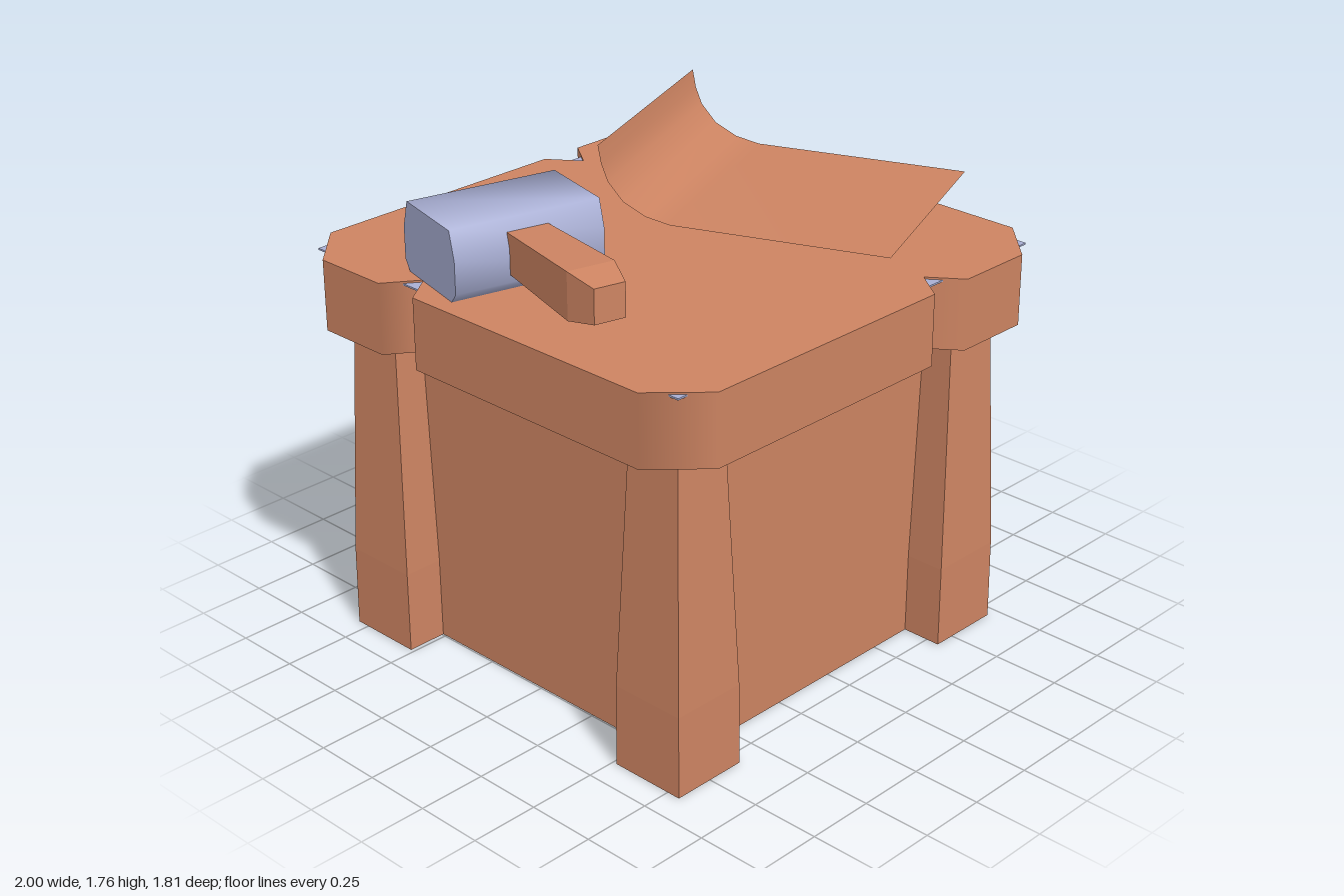
import * as THREE from 'three';
import { toCreasedNormals } from 'three/addons/utils/BufferGeometryUtils.js';

const CX = -0.095; // table centre in x
const HALF = 0.905; // half width of the table top

// Solid from a stack of equal-length rings, capped at both ends
function loft(rings) {
  const pos = [], idx = [], n = rings[0].length;
  rings.forEach(r => r.forEach(p => pos.push(...p)));
  for (let k = 0; k < rings.length - 1; k++)
    for (let i = 0; i < n; i++) {
      const a = k * n + i, b = k * n + (i + 1) % n;
      idx.push(a, b, b + n, a, b + n, a + n);
    }
  const last = (rings.length - 1) * n;
  for (let i = 1; i < n - 1; i++) {
    idx.push(0, i + 1, i);
    idx.push(last, last + i, last + i + 1);
  }
  const g = new THREE.BufferGeometry();
  g.setAttribute('position', new THREE.Float32BufferAttribute(pos, 3));
  g.setIndex(idx);
  return g;
}

function flat(g) {
  const f = g.toNonIndexed();
  f.computeVertexNormals();
  return f;
}

// Chamfered square slab with three notches; corners shade round
function tableTopGeometry() {
  const h = HALF, c = 0.735;
  const outline = [
    [-c, h], [0.275, h], [0.36, 0.79], [0.445, h], [c, h],
    [h, c], [h, -c],
    [c, -h], [0.425, -h], [0.345, -0.79], [0.26, -h], [-c, -h],
    [-h, -c], [-h, -0.45], [-0.785, -0.365], [-h, -0.28], [-h, c],
  ];
  const shape = new THREE.Shape(outline.map(([x, z]) => new THREE.Vector2(x, -z)));
  let g = new THREE.ExtrudeGeometry(shape, { depth: 0.255, bevelEnabled: false });
  g.rotateX(-Math.PI / 2);
  const p = g.attributes.position, nr = g.attributes.normal;
  for (let i = 0; i < p.count; i++) {
    if (Math.abs(nr.getY(i)) > 0.5 || Math.min(Math.abs(nr.getX(i)), Math.abs(nr.getZ(i))) < 0.2) continue;
    if (Math.abs(p.getX(i)) > h - 0.01) nr.setXYZ(i, Math.sign(p.getX(i)), 0, 0);
    else if (Math.abs(p.getZ(i)) > h - 0.01) nr.setXYZ(i, 0, 0, Math.sign(p.getZ(i)));
  }
  return g;
}

// Leg: straight foot, then tapering to the top
function legGeometry(sx, sz) {
  const rings = [[0, 0.8, 0.515], [0.3, 0.798, 0.517], [1.21, 0.765, 0.555]].map(([y, o, i]) => {
    const r = [[i, i], [i, o], [o, o], [o, i]].map(([x, z]) => [x * sx, y, z * sz]);
    return sx * sz > 0 ? r : r.reverse();
  });
  return flat(loft(rings));
}

// Sheet with its back edge curling upward
function sheetGeometry() {
  const profile = [[0, 1.765], [0.012, 1.7], [0.035, 1.64], [0.09, 1.575], [0.17, 1.533], [0.26, 1.515], [1.035, 1.515]];
  const g = new THREE.PlaneGeometry(0.86, 1, 1, profile.length - 1);
  const p = g.attributes.position;
  for (let i = 0; i < p.count; i++) {
    const [q, y] = profile[Math.floor(i / 2)];
    p.setXYZ(i, p.getX(i), y, q - 0.5175);
  }
  g.computeVertexNormals();
  return g;
}

export function createModel() {
  const wood = new THREE.MeshStandardMaterial({ color: 0xcd8462 });
  wood.name = 'wood';
  wood.side = THREE.DoubleSide;
  const metal = new THREE.MeshStandardMaterial({ color: 0xa9afd4 });
  metal.name = 'metal';

  const model = new THREE.Group();
  model.name = 'workbench';
  const add = (parent, name, geometry, material) => {
    const m = new THREE.Mesh(geometry, material);
    m.name = name;
    parent.add(m);
    return m;
  };

  // Bench
  const bench = new THREE.Group();
  bench.name = 'bench';
  bench.position.x = CX;
  model.add(bench);
  add(bench, 'tableTop', tableTopGeometry(), wood).position.y = 1.2;
  add(bench, 'cabinet', new THREE.BoxGeometry(1.3, 1.21, 1.3), wood).position.y = 0.605;
  for (const sx of [-1, 1])
    for (const sz of [-1, 1])
      add(bench, (sz > 0 ? 'front' : 'back') + (sx > 0 ? 'Left' : 'Right') + 'Leg', legGeometry(sx, sz), wood);
  // Thin plate whose edges peek out at the corners and notches
  add(bench, 'metalPlate', new THREE.BoxGeometry(1.68, 0.006, 1.68), metal).position.y = 1.445;

  // Hammer
  const hammer = new THREE.Group();
  hammer.name = 'hammer';
  hammer.position.set(-0.635, 1.455, -0.24);
  hammer.rotation.y = -0.25;
  model.add(hammer);
  const section = [[0.15, 0], [0.18, 0.035], [0.18, 0.15], [0.15, 0.245]];
  const ring = [...section, ...section.map(([z, y]) => [-z, y]).reverse()];
  const headRings = [0.273, -0.273].map(x => ring.map(([z, y]) => [x, y, z]));
  add(hammer, 'hammerHead', toCreasedNormals(loft(headRings), 1.35), metal);
  // Handle stations: distance along, half width, half height
  const stations = [[-0.26, 0.058, 0.058], [-0.1, 0.058, 0.058], [0.15, 0.075, 0.07], [0.57, 0.085, 0.083], [0.686, 0.056, 0.06]];
  const handleRings = stations.map(([z, w, h]) =>
    [[-w, -h], [w, -h], [w, h], [-w, h]].map(([x, y]) => [x, y + 0.132, z]));
  add(hammer, 'hammerHandle', flat(loft(handleRings)), wood);

  // Curled sheet
  const sheet = add(model, 'curledSheet', sheetGeometry(), wood);
  sheet.position.set(0.403, 0, 0.06);
  sheet.rotation.y = 0.386;

  return model;
}
